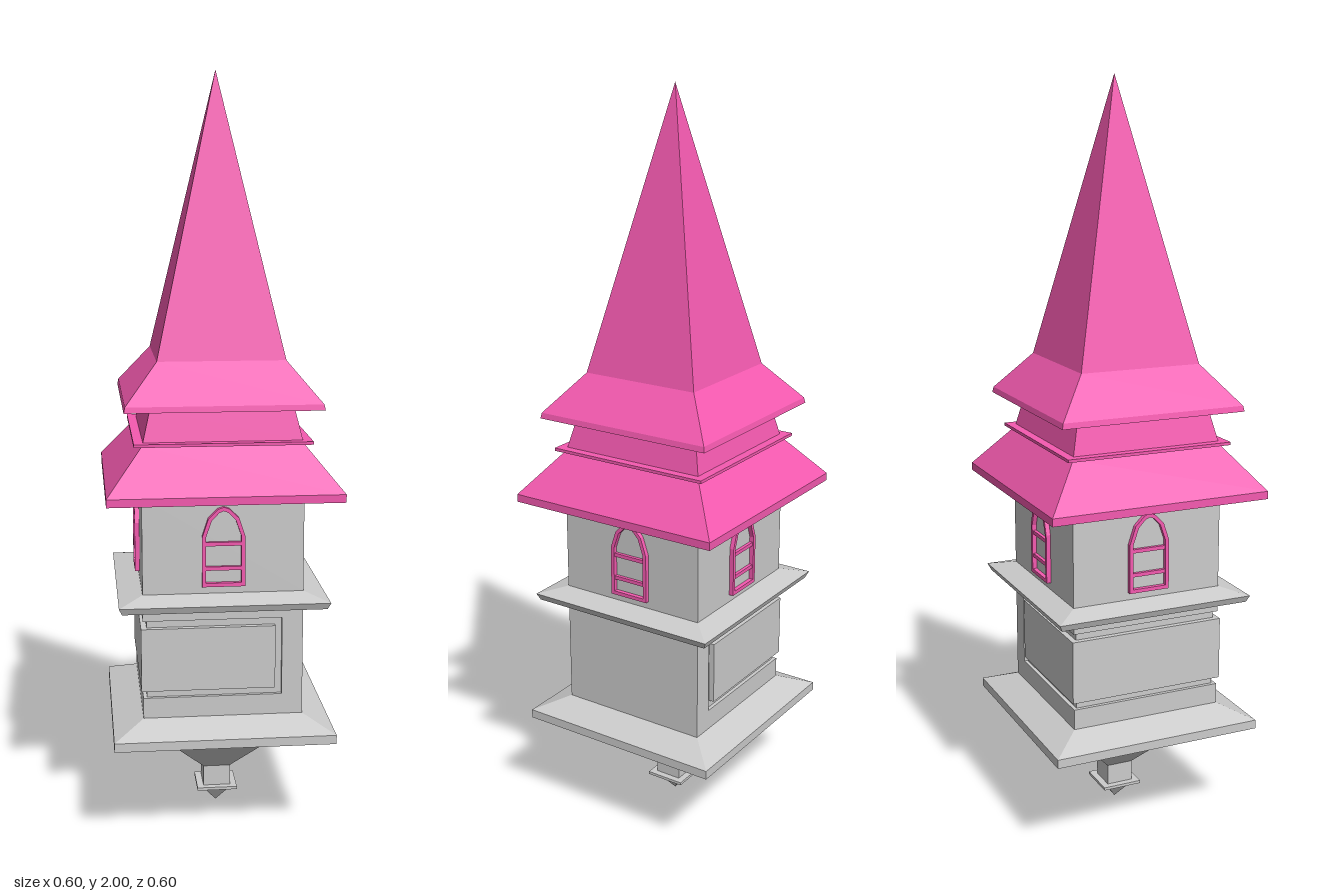
import * as THREE from 'three';

const grey = new THREE.MeshStandardMaterial({ color: 0xcccccc, flatShading: true });
const pink = new THREE.MeshStandardMaterial({ color: 0xf55ab0, flatShading: true });

// Square tower section from [half width, height] pairs, listed bottom to top
function squareStack(name, profile, material) {
  const points = profile.map(([w, y]) => new THREE.Vector2(w * Math.SQRT2, y));
  const mesh = new THREE.Mesh(new THREE.LatheGeometry(points, 4, Math.PI / 4), material);
  mesh.name = name;
  return mesh;
}

// Box given by its two opposite corners
function boxBetween(name, [x0, y0, z0], [x1, y1, z1], material) {
  const mesh = new THREE.Mesh(new THREE.BoxGeometry(x1 - x0, y1 - y0, z1 - z0), material);
  mesh.position.set((x0 + x1) / 2, (y0 + y1) / 2, (z0 + z1) / 2);
  mesh.name = name;
  return mesh;
}

// Pointed arch outline, shrunk inwards by t
function archPoints(t) {
  const half = [[0.056 - t, 0.692 + t], [0.056 - t, 0.825], [0.04 - t * 0.9, 0.873 - t * 0.5], [0.015 - t * 0.3, 0.898 - t]];
  const left = half.map(([x, y]) => [-x, y]).reverse();
  return [...half, [0, 0.903 - t], ...left].map(([x, y]) => new THREE.Vector2(x, y));
}

function createWindow() {
  const group = new THREE.Group();
  group.name = 'window';
  const shape = new THREE.Shape(archPoints(0));
  shape.holes.push(new THREE.Path(archPoints(0.01)));
  const frame = new THREE.Mesh(new THREE.ExtrudeGeometry(shape, { depth: 0.015, bevelEnabled: false }), pink);
  frame.position.z = 0.207;
  frame.name = 'windowFrame';
  group.add(frame);
  for (const y of [0.74, 0.805]) {
    group.add(boxBetween('windowBar', [-0.05, y - 0.005, 0.207], [0.05, y + 0.005, 0.219], pink));
  }
  return group;
}

export function createModel() {
  const tower = new THREE.Group();
  tower.name = 'tower';

  // Pendant tip, flared underside and base ledge
  tower.add(squareStack('base', [
    [0, 0], [0.037, 0.052], [0.055, 0.052], [0.055, 0.06], [0.037, 0.06], [0.037, 0.117],
    [0.18, 0.276], [0.29, 0.276], [0.29, 0.3], [0.21, 0.335], [0.21, 0.39], [0, 0.39],
  ], grey));

  // Panelled storey: recessed core, solid strip on one side, raised wrap-around panel
  tower.add(boxBetween('panelRecess', [-0.2, 0.385, -0.2], [0.2, 0.605, 0.2], grey));
  tower.add(boxBetween('sideWall', [0.155, 0.39, -0.21], [0.21, 0.6, 0.21], grey));
  tower.add(boxBetween('raisedPanel', [-0.215, 0.41, -0.215], [0.137, 0.58, 0.215], grey));

  // Cornice and window storey
  tower.add(squareStack('upperStorey', [
    [0, 0.6], [0.21, 0.6], [0.21, 0.637], [0.265, 0.637], [0.273, 0.655],
    [0.21, 0.672], [0.21, 0.93], [0, 0.93],
  ], grey));

  for (let i = 0; i < 4; i++) {
    const win = createWindow();
    win.rotation.y = i * Math.PI / 2;
    tower.add(win);
  }

  // Lower roof with thin string course and neck
  tower.add(squareStack('lowerRoof', [
    [0, 0.927], [0.302, 0.927], [0.302, 0.948], [0.207, 1.063], [0.229, 1.063], [0.229, 1.071],
    [0.205, 1.071], [0.185, 1.155], [0.175, 1.2], [0, 1.2],
  ], pink));

  // Upper eave and spire
  tower.add(squareStack('spire', [
    [0.17, 1.17], [0.254, 1.155], [0.251, 1.17], [0.166, 1.272], [0, 2],
  ], pink));

  return tower;
}
